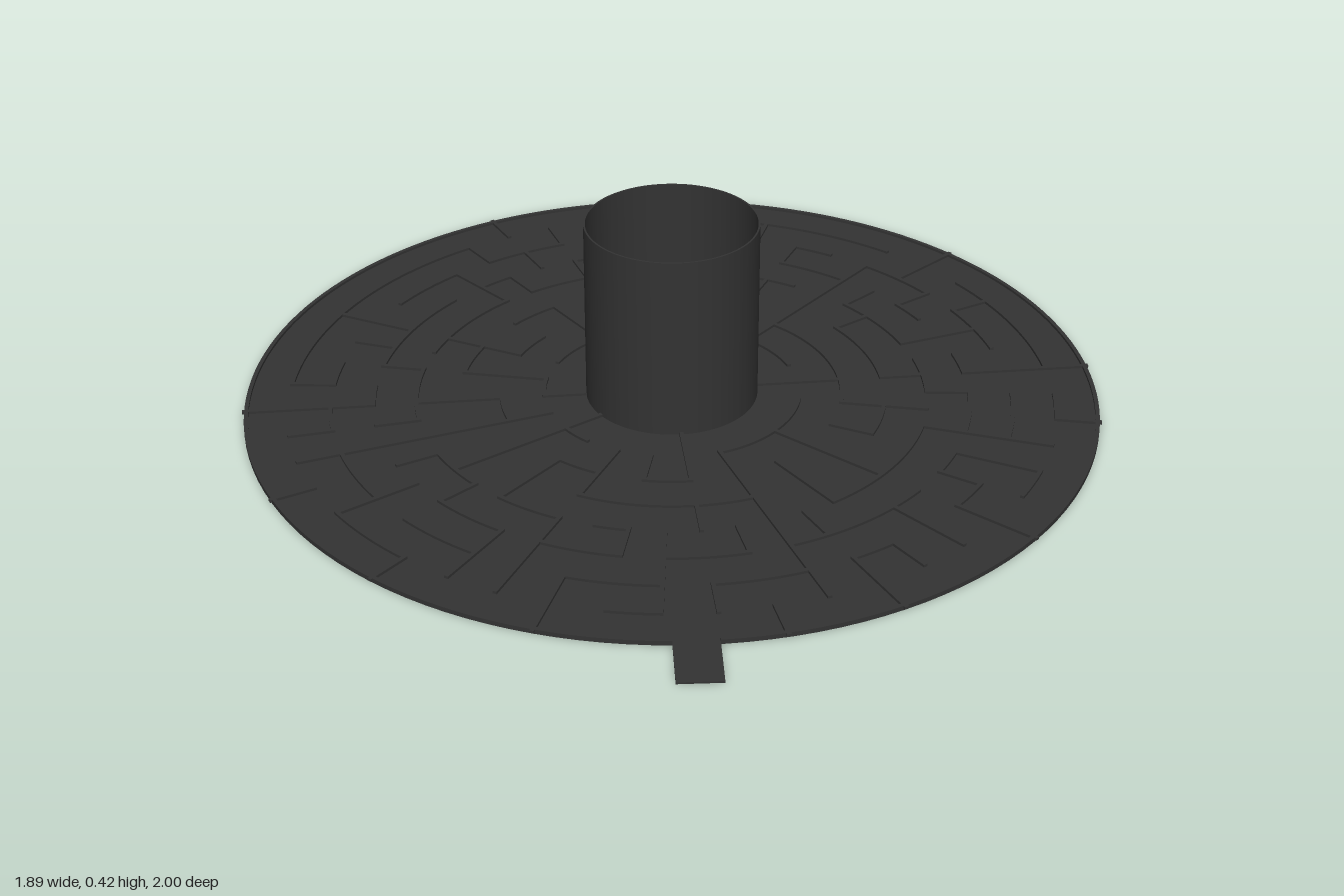
import * as THREE from 'three';
import { mergeGeometries, toCreasedNormals } from 'three/addons/utils/BufferGeometryUtils.js';

const R = 0.94, HUB = 0.19, HUB_HEIGHT = 0.42;
const BASE = 0.004, TOP = 0.01, WALL = 0.009;
const RINGS = 8, STEP = (R - HUB) / RINGS, TAU = Math.PI * 2;
const ENTRANCE = -Math.PI / 2 - 0.057; // shape angle that ends up at the front

// Flat shape in x,y extruded and laid down so that its -y side faces +z
function slab(shape, y0, y1, segments = 64) {
  const g = new THREE.ExtrudeGeometry(shape, { depth: y1 - y0, bevelEnabled: false, curveSegments: segments });
  g.rotateX(-Math.PI / 2);
  g.translate(0, y0, 0);
  return toCreasedNormals(g, 0.5);
}

function ring(inner, outer, y0, y1) {
  const shape = new THREE.Shape().absarc(0, 0, outer, 0, TAU);
  shape.holes.push(new THREE.Path().absarc(0, 0, inner, 0, TAU, true));
  return slab(shape, y0, y1);
}

// Curved wall between two angles
function arcWall(r, a0, a1) {
  const shape = new THREE.Shape();
  shape.absarc(0, 0, r + WALL / 2, a0, a1, false);
  shape.absarc(0, 0, r - WALL / 2, a1, a0, true);
  return slab(shape, BASE, TOP, Math.max(2, Math.ceil((a1 - a0) * 12)));
}

// Straight wall along a radius
function radialWall(r0, r1, a) {
  const g = new THREE.BoxGeometry(r1 - r0 + WALL, TOP - BASE, WALL);
  g.translate((r0 + r1) / 2, (BASE + TOP) / 2, 0);
  return g.rotateY(a).toNonIndexed();
}

// Circular maze carved by a seeded depth-first walk
function mazeWalls() {
  let seed = 11;
  const random = () => (seed = (seed * 16807) % 2147483647) / 2147483647;
  const counts = Array.from({ length: RINGS }, (_, k) => (k < 1 ? 12 : k < 4 ? 24 : 48));
  const cells = counts.map((n, k) => Array.from({ length: n }, (_, i) => ({ k, i, seen: false, inward: true, side: true })));
  const parent = c => cells[c.k - 1][Math.floor(c.i * counts[c.k - 1] / counts[c.k])];
  const links = c => {
    const n = counts[c.k], out = [];
    const next = cells[c.k][(c.i + 1) % n], prev = cells[c.k][(c.i + n - 1) % n];
    out.push([next, () => { c.side = false; }], [prev, () => { prev.side = false; }]);
    if (c.k > 0) out.push([parent(c), () => { c.inward = false; }]);
    if (c.k < RINGS - 1) {
      for (const d of cells[c.k + 1]) if (parent(d) === c) out.push([d, () => { d.inward = false; }]);
    }
    return out.filter(([d]) => !d.seen);
  };
  const stack = [cells[RINGS - 1][0]];
  stack[0].seen = true;
  while (stack.length) {
    const options = links(stack[stack.length - 1]);
    if (!options.length) { stack.pop(); continue; }
    const [cell, open] = options[Math.floor(random() * options.length)];
    open();
    cell.seen = true;
    stack.push(cell);
  }

  const parts = [];
  cells.forEach((row, k) => {
    const r = HUB + k * STEP, da = TAU / row.length;
    row.forEach(c => {
      if (c.side) parts.push(radialWall(r, r + STEP, (c.i + 1) * da));
    });
    // Neighbouring wall pieces join into one arc
    for (let i = 0; k > 0 && i < row.length; i++) {
      if (!row[i].inward) continue;
      const start = i;
      while (i + 1 < row.length && row[i + 1].inward) i++;
      parts.push(arcWall(r, start * da, (i + 1) * da));
    }
  });
  return mergeGeometries(parts);
}

export function createModel() {
  const model = new THREE.Group();
  model.name = 'circularMaze';
  const material = new THREE.MeshStandardMaterial({ color: 0x333333 });
  const add = (name, geometry) => {
    const mesh = new THREE.Mesh(geometry, material);
    mesh.name = name;
    mesh.position.z = -0.06;
    model.add(mesh);
    return mesh;
  };

  add('baseDisc', ring(HUB - 0.004, R, 0, BASE));
  add('centreTube', ring(HUB - 0.004, HUB, 0, HUB_HEIGHT));
  add('mazeWalls', mazeWalls());

  // Outer rim, open at the entrance
  const gap = 0.049;
  add('outerRim', arcWall(R - WALL / 2, ENTRANCE + gap, ENTRANCE + TAU - gap));

  // Entrance tab reaching out past the rim
  const tab = new THREE.BoxGeometry(0.13, BASE, 0.092);
  tab.translate(R + 0.053, BASE / 2, 0);
  tab.rotateY(ENTRANCE);
  add('entranceTab', tab);

  return model;
}
